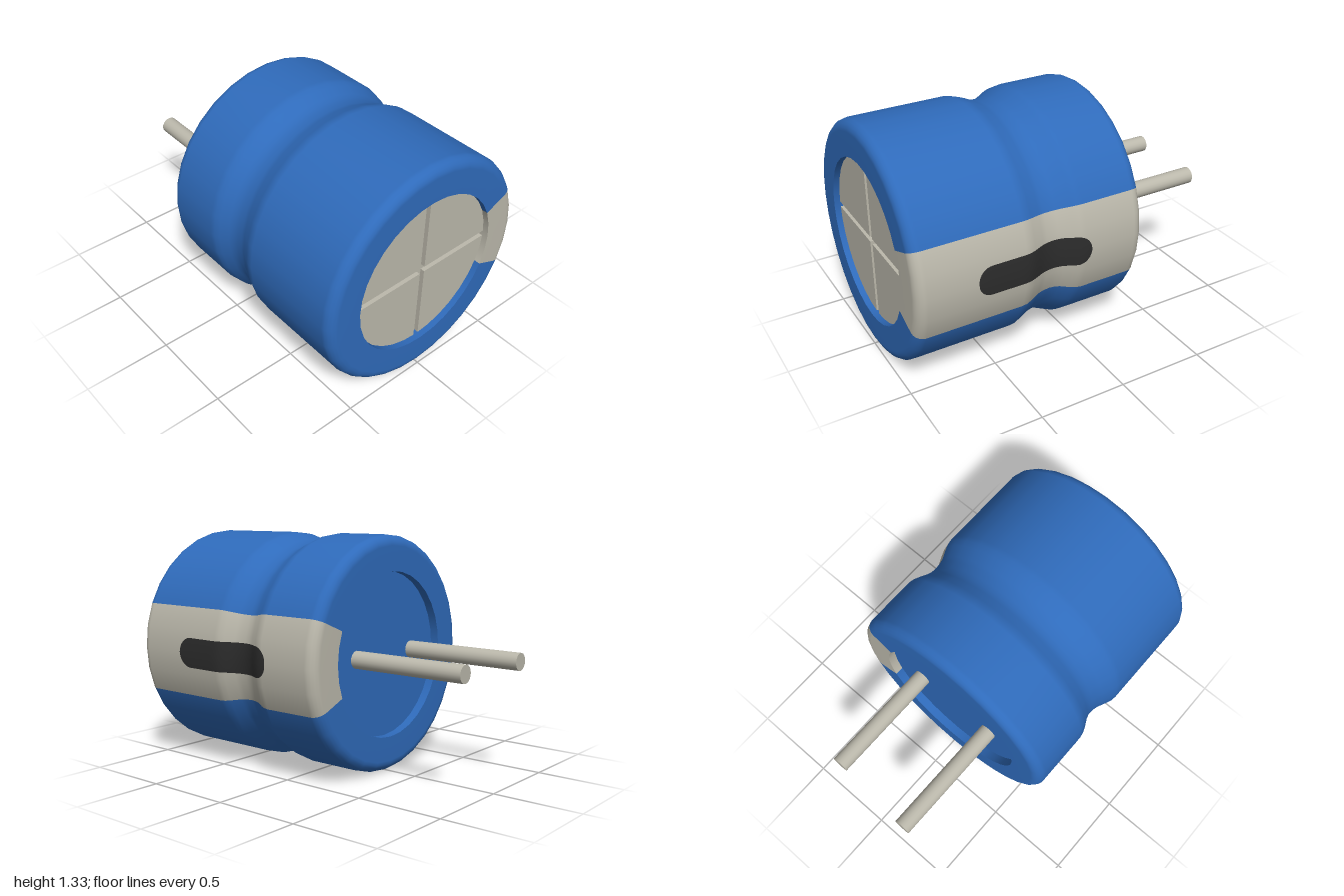
import * as THREE from 'three';

const R = 0.665;        // can radius
const INNER = 0.465;    // opening radius at both ends
const SIDES = 32;
const FRONT = 1, BACK = -0.333;

// waist crimped around the can: [z, radius]
const waist = [[0.03, R], [0.06, 0.66], [0.09, 0.648], [0.14, 0.623], [0.17, 0.615], [0.2, 0.612],
  [0.24, 0.616], [0.27, 0.623], [0.33, 0.65], [0.36, 0.661], [0.39, R]];

function radiusAt(z) {
  for (let i = 1; i < waist.length; i++) {
    const [z0, r0] = waist[i - 1], [z1, r1] = waist[i];
    if (z >= z0 && z <= z1) return r0 + (r1 - r0) * (z - z0) / (z1 - z0);
  }
  return R;
}

// sleeve outline from the rear opening, over the side, to the front opening
function sleeveProfile() {
  const pts = [], c = 0.06;
  const add = (r, z) => pts.push(new THREE.Vector2(r, z));
  add(INNER, BACK + 0.05);
  add(INNER, BACK); add(INNER, BACK);
  for (let i = 0; i <= 5; i++) {
    const a = i / 5 * Math.PI / 2;
    add(R - c + c * Math.sin(a), BACK + c - c * Math.cos(a));
  }
  waist.forEach(([z, r]) => add(r, z));
  for (let i = 0; i <= 5; i++) {
    const a = i / 5 * Math.PI / 2;
    add(R - c + c * Math.cos(a), FRONT - c + c * Math.sin(a));
  }
  add(INNER, FRONT); add(INNER, FRONT);
  add(INNER, FRONT - 0.06);
  return pts;
}

// rounded minus mark that follows the waist
function markGeometry(z0, z1, half, corner) {
  const pos = [], idx = [], n = 40, slope = Math.tan(Math.PI / SIDES);
  for (let i = 0; i <= n; i++) {
    const z = z0 + (z1 - z0) * (1 - Math.cos(i / n * Math.PI)) / 2;
    const d = Math.max(0, corner - Math.min(z - z0, z1 - z));
    const h = half - corner + Math.sqrt(Math.max(0, corner * corner - d * d));
    for (const y of [-h, 0, h]) pos.push(radiusAt(z) - Math.abs(y) * slope + 0.004, y, z);
    if (i === n) continue;
    for (let k = 0; k < 2; k++) {
      const a = i * 3 + k;
      idx.push(a, a + 1, a + 3, a + 1, a + 4, a + 3);
    }
  }
  const g = new THREE.BufferGeometry();
  g.setAttribute('position', new THREE.Float32BufferAttribute(pos, 3));
  g.setIndex(idx);
  g.computeVertexNormals();
  return g;
}

export function createModel() {
  const model = new THREE.Group();
  model.name = 'capacitor';
  const material = (name, color, side = THREE.FrontSide) => {
    const m = new THREE.MeshStandardMaterial({ color, side });
    m.name = name;
    return m;
  };
  const blue = material('blue sleeve', 0x2f6bbb, THREE.DoubleSide);
  const silver = material('warm silver', 0xbcb9ac, THREE.DoubleSide);
  const black = material('black mark', 0x2c2c2c, THREE.DoubleSide);

  const body = new THREE.Group();
  body.name = 'body';
  body.position.y = R;
  model.add(body);
  const add = (name, geometry, mat, x = 0, y = 0, z = 0) => {
    const mesh = new THREE.Mesh(geometry, mat);
    mesh.name = name;
    mesh.position.set(x, y, z);
    body.add(mesh);
    return mesh;
  };

  // sleeve and its polarity stripe on the left side
  const profile = sleeveProfile();
  const wedge = Math.PI / 4;
  const sector = (start, length, segments) =>
    new THREE.LatheGeometry(profile, segments, start, length).rotateX(Math.PI / 2);
  add('sleeve', sector(Math.PI / 2 + wedge / 2, Math.PI * 2 - wedge, 28), blue);
  add('polarityStripe', sector(Math.PI / 2 - wedge / 2, wedge, 4), silver);
  add('minusMark', markGeometry(0, 0.665, 0.085, 0.08), black);

  // recessed rear seal
  add('rearSeal', new THREE.CircleGeometry(INNER, SIDES).rotateY(Math.PI), blue, 0, 0, BACK + 0.05);

  // recessed front cap: four raised quarters leave a cross-shaped vent
  add('ventFloor', new THREE.CircleGeometry(INNER, SIDES), silver, 0, 0, FRONT - 0.06);
  const gap = 0.016, edge = Math.asin(gap / INNER);
  const quarter = new THREE.Shape();
  quarter.moveTo(gap, gap);
  for (let i = 0; i <= 8; i++) {
    const a = Math.min(Math.max(i / 8 * Math.PI / 2, edge), Math.PI / 2 - edge);
    quarter.lineTo(INNER * Math.cos(a), INNER * Math.sin(a));
  }
  quarter.closePath();
  const quarterGeometry = new THREE.ExtrudeGeometry(quarter, { depth: 0.025, bevelEnabled: false });
  for (let i = 0; i < 4; i++) {
    add('capQuarter', quarterGeometry, silver, 0, 0, FRONT - 0.06).rotation.z = i * Math.PI / 2;
  }

  // two wire leads, one slightly shorter
  for (const [name, x, end] of [['longLead', -0.25, -1], ['shortLead', 0.247, -0.968]]) {
    const start = BACK + 0.06, length = start - end;
    const lead = new THREE.CylinderGeometry(0.049, 0.049, length, 20).rotateX(Math.PI / 2);
    add(name, lead, silver, x, 0, (start + end) / 2);
  }
  return model;
}
